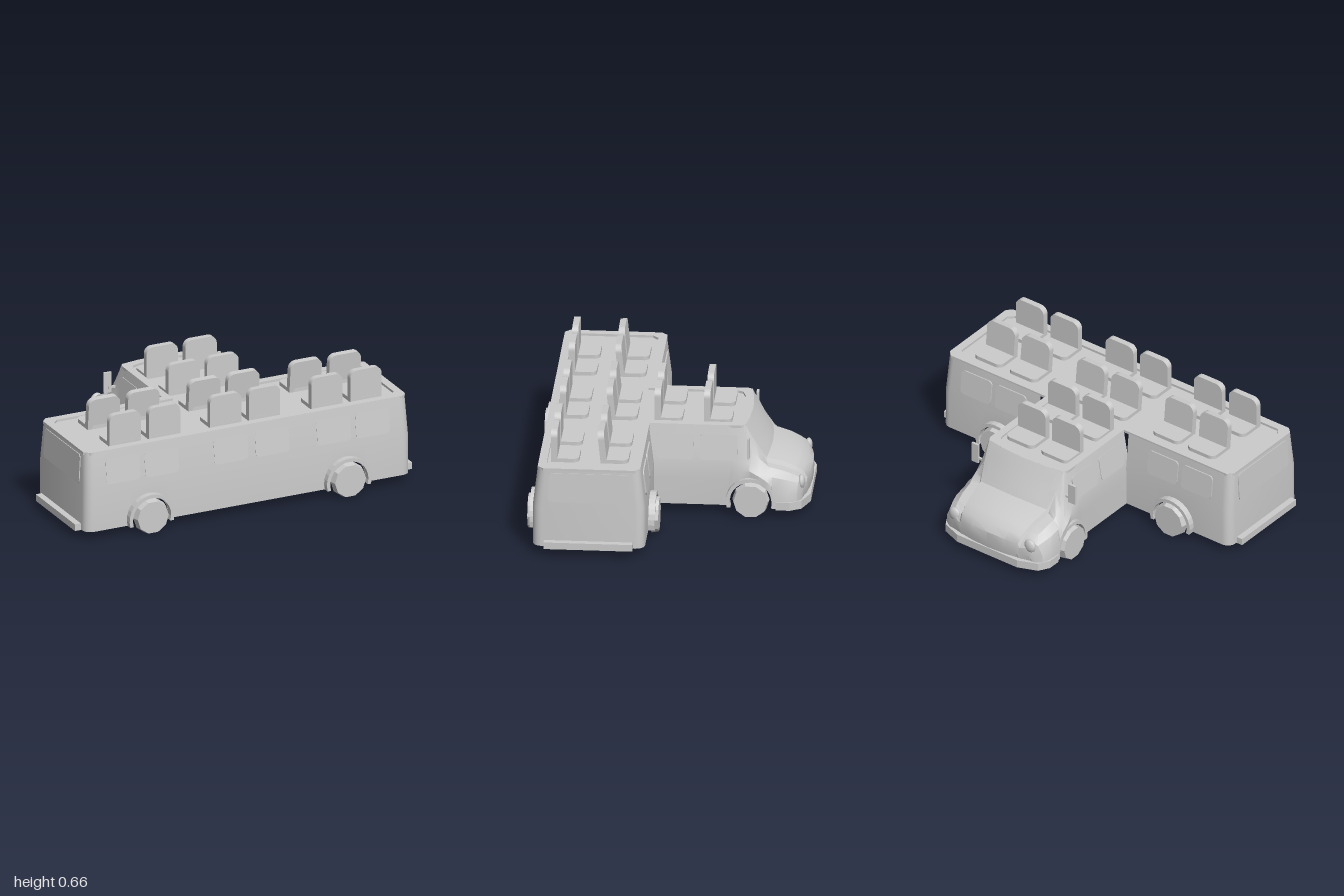
import * as THREE from 'three';
import { toCreasedNormals } from 'three/addons/utils/BufferGeometryUtils.js';

const mat = new THREE.MeshStandardMaterial({ color: 0xcccccc, side: THREE.DoubleSide });
const CX = 0.027;              // centre line of the cab wing
const FLOOR = 0.055, ARCH_Y = 0.09, ARCH_R = 0.113;
const lerp = THREE.MathUtils.lerp;

// Surface from rows of points; skip(i, j) leaves a cell open
function grid(rows, crease = 0.55, skip = () => false) {
  const pos = [];
  for (let i = 0; i < rows.length - 1; i++)
    for (let j = 0; j < rows[i].length - 1; j++) {
      if (skip(i, j)) continue;
      const a = rows[i][j], b = rows[i][j + 1], c = rows[i + 1][j + 1], d = rows[i + 1][j];
      pos.push(...a, ...b, ...c, ...a, ...c, ...d);
    }
  const g = new THREE.BufferGeometry();
  g.setAttribute('position', new THREE.Float32BufferAttribute(pos, 3));
  g.computeVertexNormals();
  return toCreasedNormals(g, crease);
}

// Lower body edge, cut away in an arc over a wheel
function lowerEdge(u, centres) {
  for (const c of centres) {
    const d = Math.abs(u - c);
    if (d <= ARCH_R) return ARCH_Y + Math.sqrt(ARCH_R * ARCH_R - d * d);
  }
  return FLOOR;
}
function archCuts(c) {
  const out = [c - ARCH_R - 0.0005, c + ARCH_R + 0.0005];
  for (let i = 0; i <= 8; i++) out.push(c - ARCH_R * 0.9999 * Math.cos(i * Math.PI / 8));
  return out;
}

function roundedRect(w, h, r) {
  const s = new THREE.Shape(), x = w / 2, y = h / 2;
  s.absarc(x - r, y - r, r, 0, Math.PI / 2);
  s.absarc(-x + r, y - r, r, Math.PI / 2, Math.PI);
  s.absarc(-x + r, -y + r, r, Math.PI, Math.PI * 1.5);
  s.absarc(x - r, -y + r, r, Math.PI * 1.5, Math.PI * 2);
  s.closePath();
  return s;
}
const extrude = (s, depth, curveSegments = 5) =>
  new THREE.ExtrudeGeometry(s, { depth, bevelEnabled: false, curveSegments });

// Wide passenger body: walls around three sides, open towards the cab wing
const WHEELS_X = [-0.59, 0.58];
function passengerWalls() {
  const path = [], W = 0.965, D = 0.30, R = 0.05;
  const cuts = WHEELS_X.flatMap(archCuts).sort((a, b) => a - b);
  const wall = (x, dz) => path.push([x, dz, lowerEdge(x, WHEELS_X)]);
  const corner = (sx, sz, a0) => {
    for (let i = 0; i <= 5; i++) {
      const a = a0 - i * Math.PI / 10;
      path.push([sx * (W - R) + R * Math.cos(a), sz * (D - R) - R * Math.sin(a), FLOOR]);
    }
  };
  wall(CX + 0.298, -D);
  cuts.filter(x => x > 0).forEach(x => wall(x, -D));
  corner(1, -1, Math.PI / 2);
  corner(1, 1, 0);
  [...cuts].reverse().forEach(x => wall(x, D));
  corner(-1, 1, -Math.PI / 2);
  corner(-1, -1, -Math.PI);
  cuts.filter(x => x < 0).forEach(x => wall(x, -D));
  wall(CX - 0.298, -D);
  const level = (y, kx, kz) => path.map(([x, dz, low]) => [x * kx, y ?? low, 0.39 + dz * kz]);
  return grid([level(0.5, 0.988, 0.913), level(0.28, 0.998, 1), level(null, 1, 1)]);
}

// Cab wing stations: z, lower half width, shoulder half width and y, top half width and y, crown y
const STATIONS = [
  [0.115, 0.300, 0.297, 0.30, 0.262, 0.50, 0.50],
  [-0.30, 0.300, 0.297, 0.30, 0.262, 0.50, 0.50],
  [-0.42, 0.318, 0.297, 0.30, 0.250, 0.50, 0.50],
  [-0.47, 0.334, 0.310, 0.27, 0.240, 0.40, 0.41],
  [-0.525, 0.338, 0.322, 0.235, 0.222, 0.305, 0.315],
  [-0.61, 0.338, 0.320, 0.222, 0.210, 0.280, 0.292],
  [-0.67, 0.335, 0.310, 0.210, 0.202, 0.255, 0.266],
  [-0.715, 0.320, 0.295, 0.195, 0.197, 0.225, 0.236],
  [-0.74, 0.285, 0.265, 0.165, 0.190, 0.185, 0.195],
  [-0.742, 0.275, 0.255, 0.120, 0.180, 0.130, 0.130],
];
function station(z) {
  let i = 0;
  while (i < STATIONS.length - 2 && z < STATIONS[i + 1][0]) i++;
  const a = STATIONS[i], b = STATIONS[i + 1], t = (z - a[0]) / (b[0] - a[0]);
  return a.map((v, k) => lerp(v, b[k], t));
}
const CAB_WHEEL_Z = -0.43;
function cabSection(z) {
  const [, wb, ws, ys, wt, yt, yc] = station(z);
  const low = lowerEdge(z, [CAB_WHEEL_Z]);
  const hood = THREE.MathUtils.clamp((-0.47 - z) / 0.06, 0, 1);
  const nose = THREE.MathUtils.clamp((-0.56 - z) / 0.1, 0, 1);
  const half = [
    [wb, low], [wb, Math.max(low, lerp(low, ys, 0.6))], [ws, ys],
    [lerp(ws, wt, 0.4), lerp(ys, yt, lerp(0.4, 0.55, hood))],
    [wt + 0.01 * hood, yt - 0.022 * hood], [wt, yt], [wt * 0.6, lerp(yt, yc, 0.75)], [0, yc],
  ];
  const point = ([x, y], k, s) =>
    [CX + s * x, y, z + 0.04 * (x / wb) ** 2 * (k >= 4 && z < -0.41 ? 1 : nose)];
  const left = half.map((p, k) => point(p, k, 1));
  const right = half.map((p, k) => point(p, k, -1)).slice(0, -1).reverse();
  return [...left, ...right];
}
function cabShell() {
  const zs = [...STATIONS.map(s => s[0]), ...archCuts(CAB_WHEEL_Z)].sort((a, b) => b - a);
  const rows = zs.map(cabSection);
  // Nose face closing the front
  const last = rows[rows.length - 1];
  rows.push(last.map(p => [p[0], Math.min(p[1], 0.07), p[2] + 0.01]));
  return grid(rows, 0.5, (i, j) => zs[i + 1] > -0.425 && j >= 5 && j <= 8);
}

// Windscreen following the curve of the cab front
function windscreen() {
  const rows = [];
  for (const z of [-0.431, -0.45, -0.47, -0.49, -0.512]) {
    const [, wb, , , wt, yt, yc] = station(z), row = [];
    for (let i = -4; i <= 4; i++) {
      const x = wt * 0.86 * i / 4;
      row.push([CX - x, lerp(yc, yt, (i / 4) ** 2) + 0.004, z - 0.005 + 0.04 * (x / wb) ** 2]);
    }
    rows.push(row);
  }
  return grid(rows);
}

// T-shaped roof outline drawn in x and z
function roofOutline(inset, Type) {
  const x = 0.954 - inset, z0 = 0.115 + inset, z1 = 0.664 - inset, c = 0.03;
  const w = 0.262 - inset, f = inset;
  return new Type([
    [CX + w, z0], [CX + w, -0.37 + f], [CX + w - 0.012, -0.395 + f], [CX + 0.15, -0.411 + f], [CX, -0.42 + f],
    [CX - 0.15, -0.411 + f], [CX - w + 0.012, -0.395 + f], [CX - w, -0.37 + f], [CX - w, z0],
    [-x + c, z0], [-x, z0 + c], [-x, z1 - c], [-x + c, z1], [x - c, z1], [x, z1 - c], [x, z0 + c], [x - c, z0],
  ].map(p => new THREE.Vector2(...p)));
}

export function createModel() {
  const model = new THREE.Group();
  const add = (name, geo, x = 0, y = 0, z = 0, parent = model) => {
    const m = new THREE.Mesh(geo, mat);
    m.name = name;
    m.position.set(x, y, z);
    parent.add(m);
    return m;
  };

  add('passengerBody', passengerWalls());
  add('cabBody', cabShell());
  add('windscreen', windscreen());

  // Roof rim with a slightly sunken deck
  const rim = roofOutline(0, THREE.Shape);
  rim.holes.push(roofOutline(0.045, THREE.Path));
  add('roofRim', extrude(rim, 0.015).rotateX(Math.PI / 2), 0, 0.5, 0);
  add('roofDeck', new THREE.ShapeGeometry(roofOutline(0.02, THREE.Shape)).rotateX(Math.PI / 2), 0, 0.487, 0);

  // Seats facing the cab
  const seatBack = extrude(roundedRect(0.186, 0.26, 0.04), 0.034).translate(0, 0.035, 0);
  const seatBase = extrude(roundedRect(0.186, 0.15, 0.035), 0.025).rotateX(Math.PI / 2);
  const columns = [-0.688, -0.455, -0.092, 0.138, 0.508, 0.74];
  for (const [z, tilt] of [[0.566, 0], [0.302, 0.1], [0.06, 0], [-0.205, 0]])
    for (const x of z > 0.1 ? columns : columns.slice(2, 4)) {
      const seat = new THREE.Group();
      seat.name = 'seat';
      seat.position.set(x, 0.5, z);
      add('seatBack', seatBack, 0, 0, 0, seat).rotation.x = tilt;
      add('seatBase', seatBase, 0, 0.008, -0.04, seat);
      model.add(seat);
    }

  // Windows lean with the walls; angle turns them outwards
  const pane = (name, w, h, x, y, z, angle, lean, out = 0.004) => {
    const m = add(name, extrude(roundedRect(w, h, 0.022), 0.01).translate(0, 0, out - 0.01), x, y, z);
    m.rotation.order = 'YXZ';
    m.rotation.set(-lean, angle, 0);
  };
  for (const x of [-0.74, -0.51, 0.51, 0.74]) pane('rearWindow', 0.2, 0.14, x, 0.38, 0.102, Math.PI, 0.122, 0.008);
  for (const x of [-0.74, -0.51, -0.1, 0.145, 0.51, 0.74]) pane('frontWindow', 0.2, 0.14, x, 0.38, 0.678, 0, 0.122, 0.002);

  // Wheel with its raised arch, facing +z before turning
  const wheelGeo = toCreasedNormals(
    new THREE.CylinderGeometry(0.092, 0.1, 0.04, 10, 1, false, Math.PI / 10).rotateX(Math.PI / 2), 0.3);
  const archShape = new THREE.Shape();
  archShape.absarc(0, 0, 0.133, -0.27, Math.PI + 0.27, false);
  archShape.absarc(0, 0, 0.113, Math.PI + 0.3, -0.3, true);
  archShape.closePath();
  const archGeo = extrude(archShape, 0.045, 8);
  const wheel = (x, z, angle) => {
    const g = new THREE.Group();
    g.name = 'wheel';
    g.position.set(x, 0, z);
    g.rotation.y = angle;
    add('tyre', wheelGeo, 0, 0.098, 0.03, g);
    add('wheelArch', archGeo, 0, ARCH_Y, -0.01, g);
    model.add(g);
  };
  for (const x of WHEELS_X) {
    wheel(x, 0.69, 0);
    wheel(x, 0.09, Math.PI);
  }

  for (const s of [-1, 1]) {
    const turn = s * Math.PI / 2;
    // Passenger body ends
    pane('endWindow', 0.43, 0.165, s * 0.959, 0.392, 0.39, turn, 0.05);
    add('endBumper', new THREE.BoxGeometry(0.05, 0.038, 0.475), s * 0.975, 0.071, 0.39);
    // Cab sides
    for (const z of [-0.022, -0.255]) pane('cabSideWindow', 0.2, 0.14, CX + s * 0.283, 0.38, z, turn, 0.173);
    wheel(CX + s * 0.3, CAB_WHEEL_Z, turn);
    add('mirror', new THREE.BoxGeometry(0.045, 0.115, 0.014), CX + s * 0.325, 0.4, -0.418);
    add('mirrorArm', new THREE.BoxGeometry(0.06, 0.012, 0.012), CX + s * 0.29, 0.37, -0.415);
    add('headlight', new THREE.SphereGeometry(0.036, 16, 10).scale(1, 1.1, 0.55), CX + s * 0.252, 0.185, -0.695);
  }

  // Cab bumper wrapping the nose
  const side = [[0.345, -0.565], [0.345, -0.64], [0.31, -0.70], [0.2, -0.742]];
  const inner = [[0.17, -0.71], [0.28, -0.675], [0.32, -0.63], [0.32, -0.565]];
  const mirrored = list => list.map(([x, z]) => [-x, z]).reverse();
  const bumper = [...side, ...mirrored(side), ...mirrored(inner), ...inner];
  add('cabBumper', extrude(new THREE.Shape(bumper.map(p => new THREE.Vector2(...p))), 0.045).rotateX(Math.PI / 2), CX, 0.096, 0);

  return model;
}
